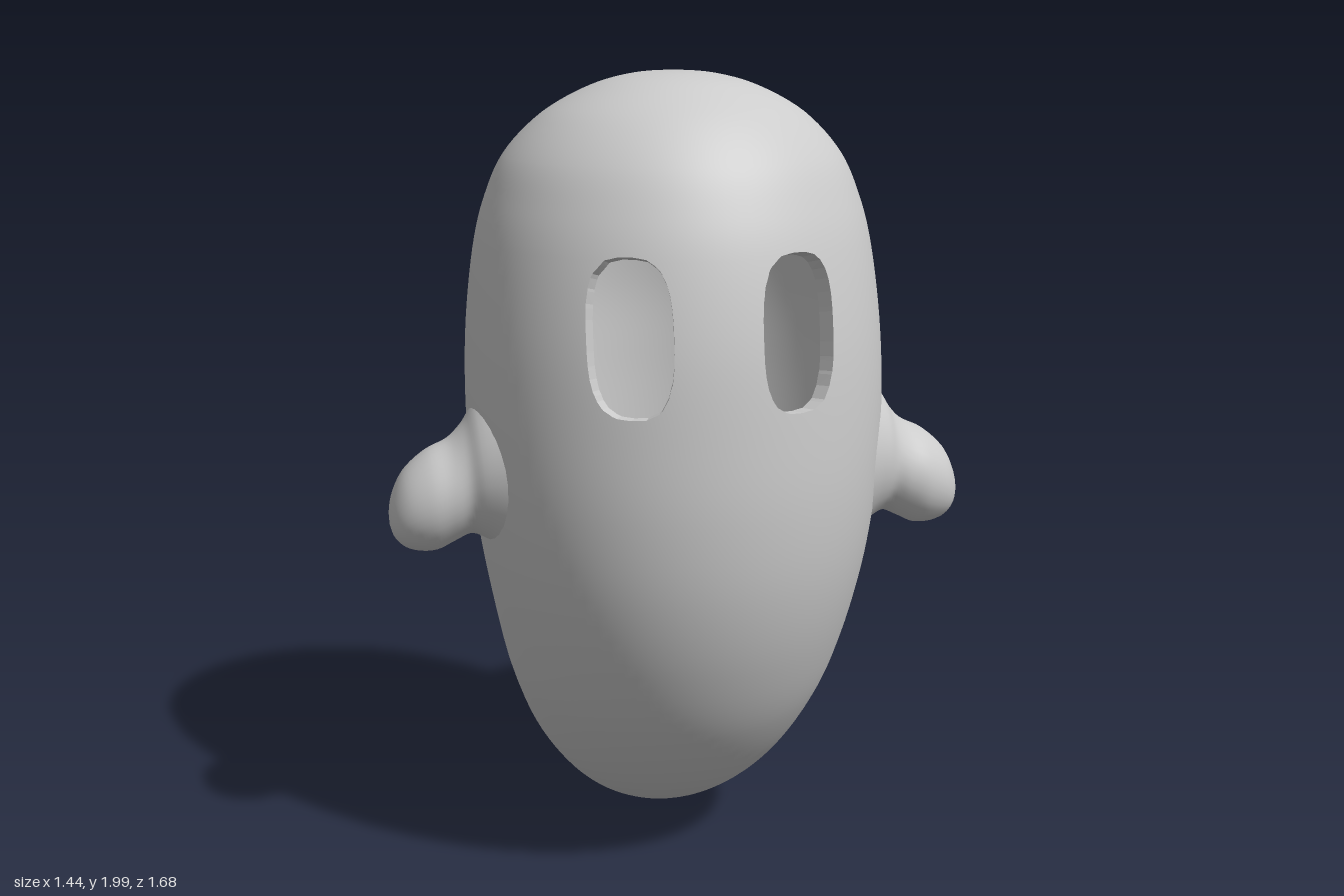
import * as THREE from 'three';

const grey = new THREE.MeshStandardMaterial({ color: 0xcccccc, side: THREE.DoubleSide });

// Body sections, head to tail tip: front/lower point (z, y), back/upper point (z, y), half width
const BODY = [
  [0.31, 2.0, 0.31, 2.0, 0],
  [0.41, 1.992, 0.21, 1.992, 0.1],
  [0.5, 1.965, 0.12, 1.965, 0.2],
  [0.6, 1.9, 0.015, 1.9, 0.32],
  [0.685, 1.8, -0.095, 1.8, 0.415],
  [0.735, 1.7, -0.15, 1.7, 0.46],
  [0.77, 1.6, -0.18, 1.6, 0.487],
  [0.813, 1.4, -0.205, 1.4, 0.513],
  [0.832, 1.2, -0.2, 1.2, 0.52],
  [0.837, 1.0, -0.186, 1.0, 0.51],
  [0.815, 0.8, -0.173, 0.85, 0.487],
  [0.755, 0.6, -0.165, 0.72, 0.455],
  [0.65, 0.4, -0.165, 0.63, 0.42],
  [0.47, 0.2, -0.175, 0.57, 0.37],
  [0.25, 0.07, -0.2, 0.535, 0.315],
  [0.0, 0.01, -0.235, 0.515, 0.287],
  [-0.2, 0.035, -0.29, 0.51, 0.253],
  [-0.38, 0.11, -0.37, 0.53, 0.215],
  [-0.5, 0.175, -0.47, 0.557, 0.185],
  [-0.585, 0.2, -0.58, 0.545, 0.155],
  [-0.65, 0.18, -0.68, 0.46, 0.125],
  [-0.69, 0.13, -0.765, 0.35, 0.1],
  [-0.73, 0.08, -0.825, 0.23, 0.07],
  [-0.765, 0.062, -0.842, 0.14, 0.042],
  [-0.805, 0.08, -0.805, 0.08, 0],
];

// Arm sections, shoulder to tip: upper point (x, y), lower point (x, y), half depth
const ARM = [
  [0.44, 1.27, 0.44, 0.84, 0.19],
  [0.51, 1.21, 0.49, 0.88, 0.155],
  [0.54, 1.165, 0.525, 0.893, 0.132],
  [0.575, 1.13, 0.565, 0.877, 0.127],
  [0.63, 1.103, 0.61, 0.856, 0.122],
  [0.685, 1.055, 0.65, 0.855, 0.103],
  [0.713, 1.0, 0.685, 0.866, 0.075],
  [0.722, 0.955, 0.71, 0.89, 0.04],
  [0.721, 0.92, 0.721, 0.92, 0],
];

// Smooth loft of elliptical rings; place(a, b, w) maps section space to x, y, z
function loft(sections, place, steps, sides) {
  const first = new THREE.CatmullRomCurve3(sections.map(s => new THREE.Vector3(s[0], s[1], s[4])));
  const second = new THREE.CatmullRomCurve3(sections.map(s => new THREE.Vector3(s[2], s[3], 0)));
  const rows = (sections.length - 1) * steps;
  const positions = [], index = [];
  for (let i = 0; i <= rows; i++) {
    const p = first.getPoint(i / rows), q = second.getPoint(i / rows);
    for (let j = 0; j < sides; j++) {
      const angle = (j / sides) * Math.PI * 2;
      const k = (1 + Math.cos(angle)) / 2;
      positions.push(...place(q.x + (p.x - q.x) * k, q.y + (p.y - q.y) * k, p.z * Math.sin(angle)));
      if (i === rows) continue;
      const a = i * sides + j, c = i * sides + (j + 1) % sides;
      index.push(a, a + sides, c, a + sides, c + sides, c);
    }
  }
  const geometry = new THREE.BufferGeometry();
  geometry.setAttribute('position', new THREE.Float32BufferAttribute(positions, 3));
  geometry.setIndex(index);
  geometry.computeVertexNormals();
  return geometry;
}

// Negative inside the rounded, upright eye openings on the front
function eyeField(p) {
  if (p.z < 0.4) return 1;
  const dx = Math.abs(Math.abs(p.x) - 0.196) / 0.093;
  const dy = Math.abs(p.y - 1.43) / 0.18;
  return Math.cbrt(dx ** 3 + dy ** 3) - 1;
}

// Trim the eye openings out of a surface and make a rim running inward from their edges
function cutEyes(source, depth) {
  const flat = source.toNonIndexed();
  const pos = flat.attributes.position, nor = flat.attributes.normal;
  const positions = [], normals = [], rim = [];
  for (let t = 0; t < pos.count; t += 3) {
    const corners = [0, 1, 2].map(k => {
      const p = new THREE.Vector3().fromBufferAttribute(pos, t + k);
      return { p, n: new THREE.Vector3().fromBufferAttribute(nor, t + k), f: eyeField(p) };
    });
    const kept = [], cut = [];
    corners.forEach((a, k) => {
      const b = corners[(k + 1) % 3];
      if (a.f >= 0) kept.push(a);
      if ((a.f >= 0) !== (b.f >= 0)) {
        const s = a.f / (a.f - b.f);
        const edge = { p: a.p.clone().lerp(b.p, s), n: a.n.clone().lerp(b.n, s).normalize() };
        kept.push(edge);
        cut.push(edge);
      }
    });
    for (let k = 1; k + 1 < kept.length; k++) {
      for (const v of [kept[0], kept[k], kept[k + 1]]) {
        positions.push(...v.p.toArray());
        normals.push(...v.n.toArray());
      }
    }
    if (cut.length === 2) {
      const [a, b] = cut.map(v => v.p);
      const [c, d] = cut.map(v => v.p.clone().addScaledVector(v.n, -depth));
      for (const v of [a, c, b, b, c, d]) rim.push(...v.toArray());
    }
  }
  const shell = new THREE.BufferGeometry();
  shell.setAttribute('position', new THREE.Float32BufferAttribute(positions, 3));
  shell.setAttribute('normal', new THREE.Float32BufferAttribute(normals, 3));
  const rims = new THREE.BufferGeometry();
  rims.setAttribute('position', new THREE.Float32BufferAttribute(rim, 3));
  rims.computeVertexNormals();
  return { shell, rims };
}

export function createModel() {
  const model = new THREE.Group();
  model.name = 'ghost';
  const add = (name, geometry) => {
    const mesh = new THREE.Mesh(geometry, grey);
    mesh.name = name;
    model.add(mesh);
    return mesh;
  };

  // Hollow body with its curled tail, and the two eye openings
  const { shell, rims } = cutEyes(loft(BODY, (a, b, w) => [w, b, a], 6, 96), 0.04);
  add('bodyAndTail', shell);
  add('eyeRims', rims);

  // Stubby arms; the right one is the left one turned half around
  const arm = loft(ARM, (a, b, w) => [a, b, -w], 5, 32);
  for (const side of ['left', 'right']) {
    const mesh = add(side + 'Arm', arm);
    mesh.position.z = 0.385;
    if (side === 'right') mesh.rotation.y = Math.PI;
  }
  return model;
}
